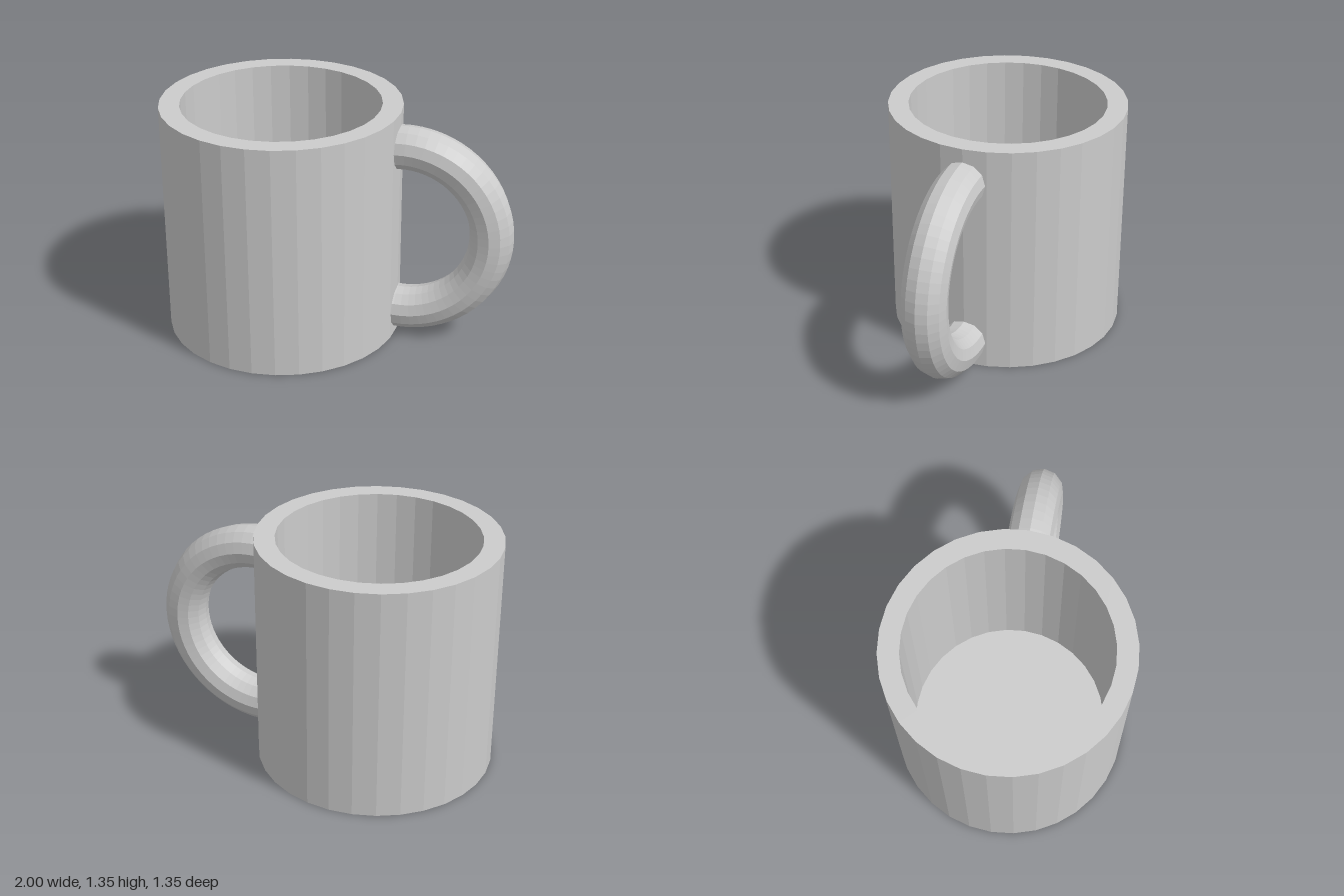
import * as THREE from 'three';

export function createModel() {
  const group = new THREE.Group();
  const material = new THREE.MeshStandardMaterial({ color: 0xcccccc, flatShading: true });

  // Thick-walled cup: one closed profile turned around its axis
  const radius = 0.675, innerRadius = 0.56, height = 1.35, floor = 0.115;
  const profile = [
    [0, 0], [radius, 0], [radius, height],
    [innerRadius, height], [innerRadius, floor], [0, floor],
  ].map(([x, y]) => new THREE.Vector2(x, y));
  const cup = new THREE.Mesh(new THREE.LatheGeometry(profile, 32), material);
  cup.name = 'cup';
  cup.position.x = -0.325;
  group.add(cup);

  // Handle: a bit more than half a ring, its ends sunk into the wall
  const arc = Math.PI * 1.1;
  const ring = new THREE.TorusGeometry(0.499, 0.124, 12, 36, arc);
  ring.rotateZ(-arc / 2);
  const handle = new THREE.Mesh(ring, material);
  handle.name = 'handle';
  handle.position.set(0.377, 0.652, 0);
  group.add(handle);

  return group;
}
